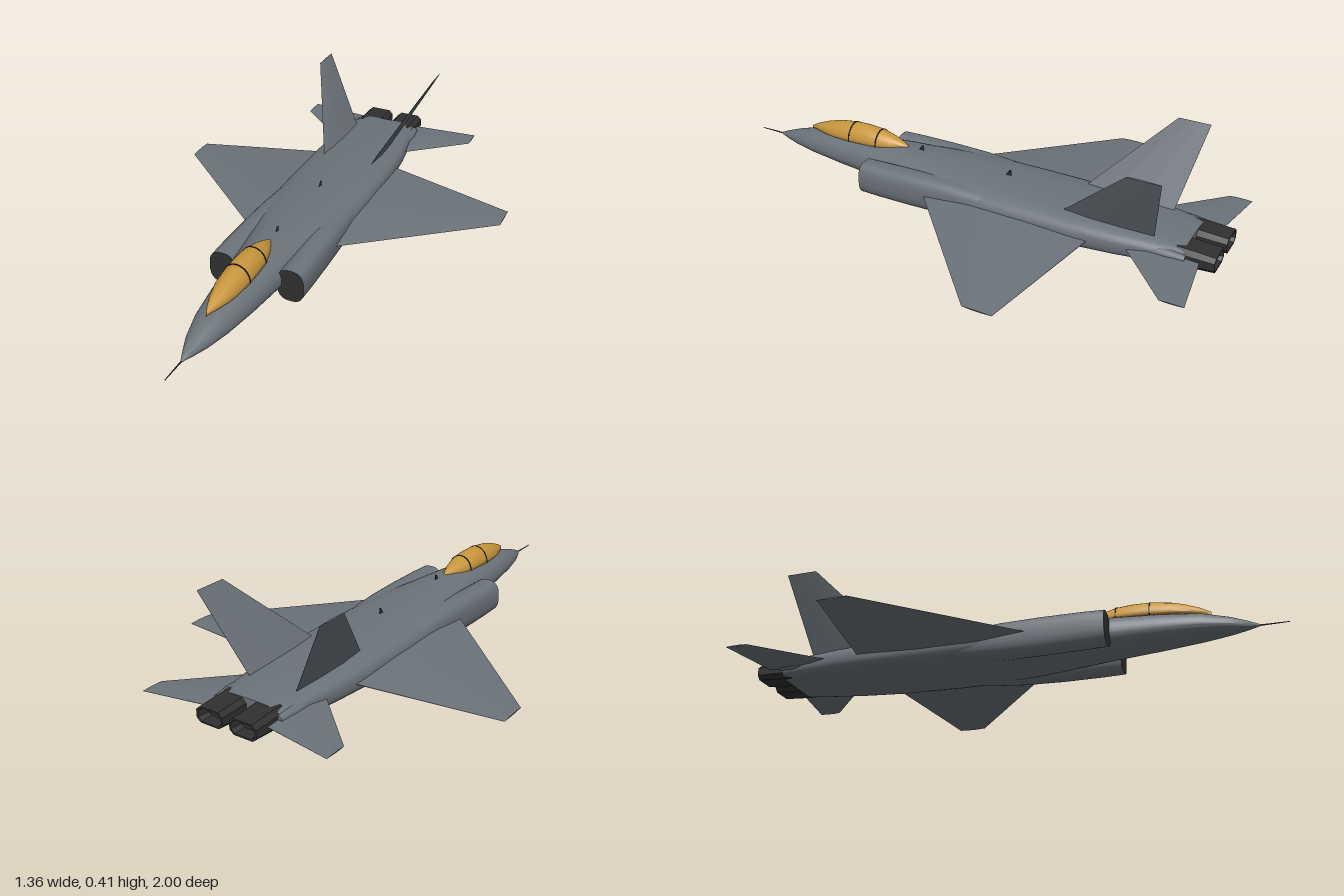
import * as THREE from 'three';
import { toCreasedNormals } from 'three/addons/utils/BufferGeometryUtils.js';

const V = (x, y, z) => new THREE.Vector3(x, y, z);

// Skin a list of equal-length rings and cap both ends.
// Groups: 0 = skin, 1 = first cap, 2 = last cap.
function loft(rings, crease = 0.6) {
  const n = rings[0].length, pos = [], index = [];
  const geo = new THREE.BufferGeometry();
  rings.forEach((r) => r.forEach((p) => pos.push(p.x, p.y, p.z)));
  for (let i = 0; i < rings.length - 1; i++) {
    for (let j = 0; j < n; j++) {
      const k = (j + 1) % n;
      const a = i * n + j, b = i * n + k, c = a + n, d = b + n;
      index.push(a, c, b, b, c, d);
    }
  }
  geo.addGroup(0, index.length, 0);
  [rings[0], rings[rings.length - 1]].forEach((ring, e) => {
    const start = index.length, base = pos.length / 3;
    const mid = ring.reduce((s, p) => s.add(p), V(0, 0, 0)).divideScalar(n);
    [mid, ...ring].forEach((p) => pos.push(p.x, p.y, p.z));
    for (let j = 0; j < n; j++) {
      const a = base + 1 + j, b = base + 1 + ((j + 1) % n);
      if (e) index.push(base, b, a);
      else index.push(base, a, b);
    }
    geo.addGroup(start, index.length - start, e + 1);
  });
  geo.setAttribute('position', new THREE.Float32BufferAttribute(pos, 3));
  geo.setIndex(index);
  return toCreasedNormals(geo, crease);
}

// Rounded section across z: half width w, top, bottom, widest height mid, squareness n.
function section(z, cx, w, top, bottom, mid, n = 2, count = 32) {
  return Array.from({ length: count }, (_, j) => {
    const a = (j / count) * Math.PI * 2, c = Math.cos(a), s = Math.sin(a);
    const x = Math.sign(c) * Math.abs(c) ** (2 / n);
    const y = Math.sign(s) * Math.abs(s) ** (2 / n);
    return V(cx + w * x, mid + y * (s > 0 ? top - mid : mid - bottom), z);
  });
}

// Tapered aerofoil between two chords; each end is [leading, trailing, thickness].
function surface(root, tip) {
  const span = tip[0].clone().add(tip[1]).sub(root[0]).sub(root[1]);
  const chord = root[0].clone().sub(root[1]);
  const up = chord.cross(span).normalize();
  const ring = ([lead, trail, t]) =>
    [[0, 0], [0.3, 0.5], [0.65, 0.45], [1, 0.04], [1, -0.04], [0.65, -0.45], [0.3, -0.5]]
      .map(([u, h]) => lead.clone().lerp(trail, u).addScaledVector(up, h * t));
  return loft([ring(root), ring(tip)], 0.15);
}

// Canopy dome stations: z, half width, base height, top height
const CANOPY = [
  [0.735, 0.001, 0.139, 0.14], [0.7, 0.017, 0.139, 0.159], [0.65, 0.035, 0.14, 0.178],
  [0.6, 0.046, 0.141, 0.192], [0.522, 0.052, 0.143, 0.203], [0.46, 0.052, 0.145, 0.205],
  [0.398, 0.049, 0.147, 0.2], [0.34, 0.035, 0.149, 0.186], [0.3, 0.02, 0.15, 0.172],
  [0.265, 0.001, 0.152, 0.156],
];

export function createModel() {
  const model = new THREE.Group();
  model.name = 'jetAircraft';
  const material = (name, color) => {
    const m = new THREE.MeshStandardMaterial({ color });
    m.name = name;
    return m;
  };
  const grey = material('airframe grey', 0x6b7279);
  const dark = material('dark metal', 0x303030);
  const amber = material('amber glass', 0xc8963c);
  const black = material('frame black', 0x1c1a18);
  const add = (name, geo, mat) => {
    const mesh = new THREE.Mesh(geo, mat);
    mesh.name = name;
    model.add(mesh);
    return mesh;
  };

  // Fuselage: z, half width, top, bottom, widest height, squareness
  const body = [
    [0.9, 0.003, 0.068, 0.062, 0.065, 2], [0.86, 0.02, 0.085, 0.054, 0.067, 2],
    [0.8, 0.043, 0.106, 0.046, 0.07, 2], [0.7, 0.067, 0.132, 0.036, 0.073, 2],
    [0.55, 0.087, 0.145, 0.025, 0.074, 2.1], [0.4, 0.1, 0.152, 0.016, 0.073, 2.2],
    [0.28, 0.115, 0.158, 0.01, 0.071, 2.3], [0.15, 0.142, 0.156, 0.006, 0.07, 2.4],
    [0.05, 0.166, 0.153, 0.003, 0.07, 2.5], [-0.07, 0.178, 0.15, 0.003, 0.07, 2.6],
    [-0.25, 0.18, 0.146, 0.006, 0.07, 2.8], [-0.5, 0.178, 0.14, 0.015, 0.072, 3],
    [-0.65, 0.168, 0.135, 0.022, 0.076, 3], [-0.78, 0.15, 0.128, 0.03, 0.078, 3.2],
    [-0.89, 0.127, 0.117, 0.04, 0.079, 3.6],
  ];
  add('fuselage', loft(body.map(([z, w, t, b, m, n]) => section(z, 0, w, t, b, m, n, 40)), 0.8), grey);

  // Nose probe
  const probe = new THREE.CylinderGeometry(0.0015, 0.003, 0.11, 8).rotateX(Math.PI / 2);
  add('noseProbe', probe.translate(0, 0.065, 0.945), dark);

  // Canopy with two hoop frames
  const dome = ([z, w, base, top], s = 1) =>
    section(z, 0, w * s, base + (top - base) * s, base - 0.01, base, 2, 28);
  add('canopy', loft(CANOPY.map((c) => dome(c)), 0.9), amber);
  for (const i of [4, 6]) {
    const [, ...rest] = CANOPY[i];
    const hoop = [0.0025, -0.0025].map((d) => dome([CANOPY[i][0] + d, ...rest], 1.025));
    add('canopyFrame', loft(hoop), black);
  }

  // Spine antennas
  for (const [y, z] of [[0.152, 0.215], [0.145, -0.165]]) {
    const blade = [[y, 0.012, 0.003], [y + 0.026, -0.004, 0.002]].map(([h, lead, w]) =>
      [V(0, h, z + lead), V(w, h, z - 0.004), V(0, h, z - 0.012), V(-w, h, z - 0.004)]);
    add('antenna', loft(blade, 0.1), dark);
  }

  for (const s of [1, -1]) {
    const side = s > 0 ? 'left' : 'right';

    // Engine intake with a dark mouth, fading back into the body
    const intake = [
      [0.385, 0.135, 0.052, 0.13, 0.003], [0.3, 0.135, 0.052, 0.133, 0.001],
      [0.15, 0.132, 0.052, 0.136, 0], [0, 0.126, 0.054, 0.136, 0.003],
      [-0.15, 0.118, 0.055, 0.128, 0.015], [-0.3, 0.108, 0.05, 0.115, 0.03],
    ].map(([z, x, w, t, b]) => section(z, s * x, w, t, b, (t + b) / 2, 2.7));
    add(side + 'Intake', loft(intake, 0.8), [grey, dark, grey]);

    // Main wing
    add(side + 'Wing', surface(
      [V(s * 0.1, 0.079, 0.17), V(s * 0.1, 0.079, -0.572), 0.033],
      [V(s * 0.68, 0.047, -0.35), V(s * 0.68, 0.047, -0.46), 0.005]), grey);

    // Tailplane and its root fairing
    add(side + 'Tailplane', surface(
      [V(s * 0.1, 0.082, -0.645), V(s * 0.1, 0.082, -0.945), 0.018],
      [V(s * 0.38, 0.075, -0.9), V(s * 0.38, 0.075, -0.985), 0.004]), grey);
    const fairing = [[-0.68, 0.01], [-0.73, 0.022], [-0.84, 0.022], [-0.9, 0.014]]
      .map(([z, r]) => section(z, s * 0.128, r, 0.085 + r, 0.085 - r, 0.085, 2, 16));
    add(side + 'TailFairing', loft(fairing), grey);

    // Canted fin
    add(side + 'Fin', surface(
      [V(s * 0.092, 0.11, -0.415), V(s * 0.092, 0.11, -0.775), 0.016],
      [V(s * 0.25, 0.41, -0.715), V(s * 0.25, 0.41, -0.835), 0.005]), grey);

    // Flattened exhaust nozzle with a recessed outlet
    const nozzle = [
      [-0.86, 0.056, 0.036], [-0.92, 0.056, 0.034], [-1, 0.055, 0.029],
      [-1, 0.048, 0.023], [-0.96, 0.043, 0.019],
    ].map(([z, w, h]) => [[1, 0.5], [0.7, 1], [-0.7, 1], [-1, 0.5], [-1, -0.5], [-0.7, -1], [0.7, -1], [1, -0.5]]
      .map(([x, y]) => V(s * 0.069 + x * w, 0.079 + y * h, z)));
    add(side + 'Nozzle', loft(nozzle, 0.3), dark);
  }
  return model;
}
